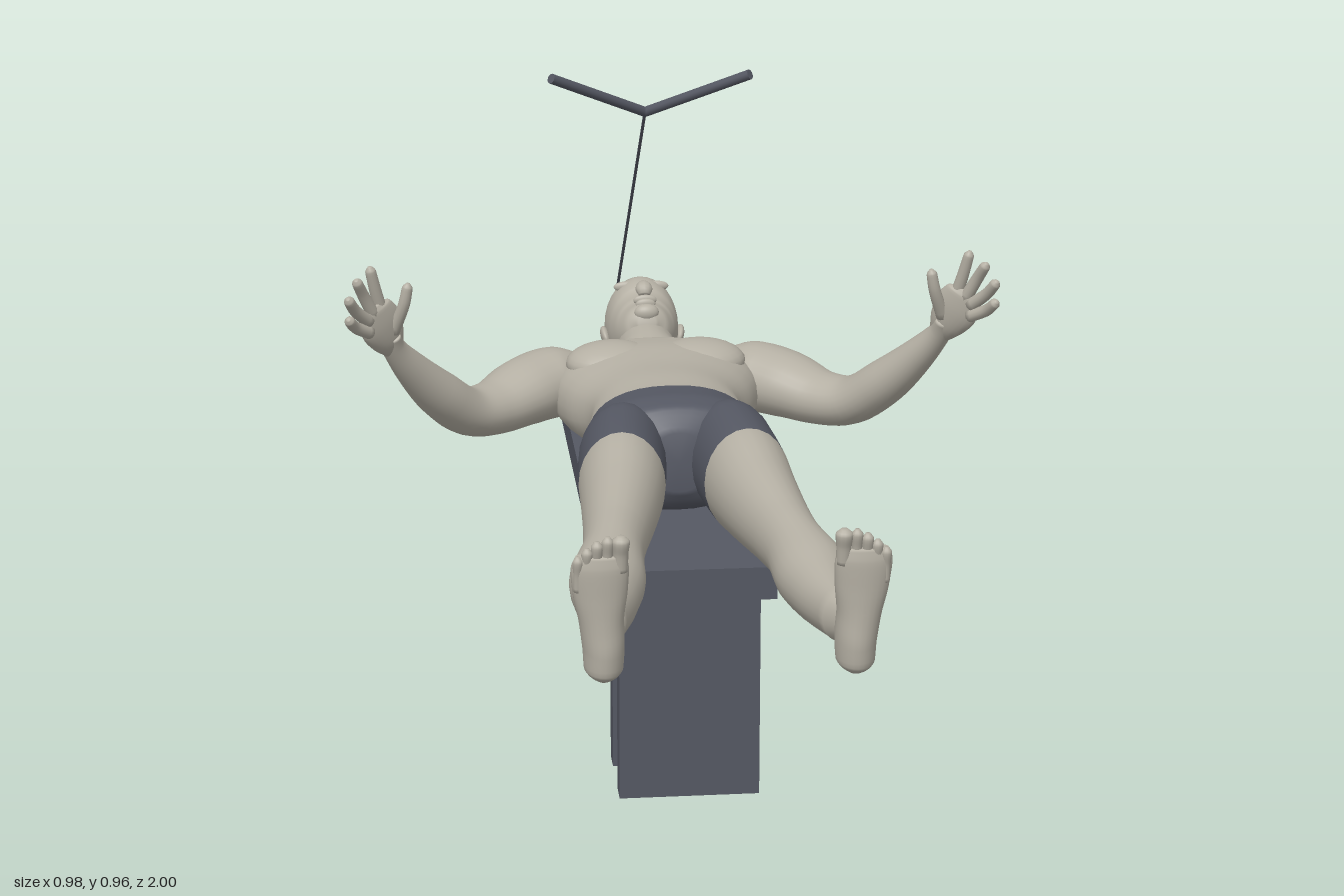
import * as THREE from 'three';

const skin = new THREE.MeshStandardMaterial({ color: 0xb5b0a4 });
skin.name = 'stone skin';
const slate = new THREE.MeshStandardMaterial({ color: 0x555863 });
slate.name = 'dark slate';

// Smooth closed loft through sections [x, y, z, a, b]; a lies along ref x tangent, b across it.
// Rows between the section numbers in dark = [from, to] become slate.
function loft(sections, ref, { steps = 5, sides = 24, dark = [0, 0], square = 1, side = 1 } = {}) {
  const path = new THREE.CatmullRomCurve3(sections.map(s => new THREE.Vector3(s[0] * side, s[1], s[2])));
  const size = new THREE.CatmullRomCurve3(sections.map(s => new THREE.Vector3(s[3], s[4], 0)));
  const up = new THREE.Vector3(ref[0] * side, ref[1], ref[2]);
  const rows = (sections.length - 1) * steps;
  const pos = [], index = [], geo = new THREE.BufferGeometry();
  const soft = v => Math.sign(v) * Math.abs(v) ** square;
  for (let i = 0; i <= rows; i++) {
    const p = path.getPoint(i / rows), r = size.getPoint(i / rows), t = path.getTangent(i / rows);
    const s = up.clone().cross(t).normalize(), n = t.clone().cross(s);
    for (let j = 0; j < sides; j++) {
      const w = j / sides * Math.PI * 2;
      const v = p.clone().addScaledVector(s, soft(Math.cos(w)) * r.x).addScaledVector(n, soft(Math.sin(w)) * r.y);
      pos.push(v.x, v.y, v.z);
    }
  }
  const ends = [path.getPoint(0), path.getPoint(1)];
  ends.forEach(p => pos.push(p.x, p.y, p.z));
  const c = (rows + 1) * sides;
  for (let i = 0; i < rows; i++) {
    geo.addGroup(index.length, sides * 6, i >= dark[0] * steps && i < dark[1] * steps ? 1 : 0);
    for (let j = 0; j < sides; j++) {
      const k = (j + 1) % sides, a = i * sides + j, b = i * sides + k;
      index.push(a, b, a + sides, b, b + sides, a + sides);
    }
  }
  geo.addGroup(index.length, sides * 6, dark[1] >= sections.length - 1 ? 1 : 0);
  for (let j = 0; j < sides; j++) {
    const k = (j + 1) % sides, e = rows * sides;
    index.push(c, k, j, c + 1, e + j, e + k);
  }
  geo.setAttribute('position', new THREE.Float32BufferAttribute(pos, 3));
  geo.setIndex(index);
  geo.computeVertexNormals();
  return geo;
}

export function createModel() {
  const model = new THREE.Group();
  model.name = 'figureOnBench';
  const X = [1, 0, 0], Y = [0, 1, 0], Z = [0, 0, 1];

  const add = (name, geo, mat, parent = model) => {
    const mesh = new THREE.Mesh(geo, mat);
    mesh.name = name;
    parent.add(mesh);
    return mesh;
  };
  const body = (name, sections, ref, opts) => add(name, loft(sections, ref, opts), [skin, slate]);
  const blob = (name, x, y, z, rx, ry, rz) => {
    const m = add(name, new THREE.SphereGeometry(1, 24, 16), skin);
    m.position.set(x, y, z);
    m.scale.set(rx, ry, rz);
    return m;
  };
  const box = (name, w, h, d, y, z) => add(name, new THREE.BoxGeometry(w, h, d), slate).position.set(0, y, z);
  const rod = (name, from, to, r) => {
    const a = new THREE.Vector3(...from), b = new THREE.Vector3(...to), d = b.clone().sub(a);
    const m = add(name, new THREE.CylinderGeometry(r, r, d.length(), 14), slate);
    m.position.copy(a).add(b).multiplyScalar(0.5);
    m.quaternion.setFromUnitVectors(new THREE.Vector3(0, 1, 0), d.normalize());
  };

  // Bench
  box('benchTop', 0.256, 0.05, 0.86, 0.335, 0.025);
  box('footPanel', 0.208, 0.31, 0.04, 0.155, 0.43);
  box('innerPanel', 0.208, 0.31, 0.04, 0.155, 0.31);
  box('headPost', 0.042, 0.31, 0.04, 0.155, -0.335);

  // Angled handle on its cable
  rod('cable', [0, 0.868, -0.265], [0, 0.26, -1], 0.0025);
  for (const s of [1, -1]) rod('handleBar', [0, 0.868, -0.265], [s * 0.156, 0.949, -0.165], 0.008);

  // Torso, with the shorts starting at the waistband
  body('torso', [
    [0, 0.47, -0.205, 0.05, 0.04], [0, 0.46, -0.18, 0.1, 0.058], [0, 0.456, -0.14, 0.155, 0.076],
    [0, 0.456, -0.08, 0.163, 0.082], [0, 0.459, -0.01, 0.146, 0.079], [0, 0.474, 0.08, 0.115, 0.069],
    [0, 0.468, 0.15, 0.124, 0.078], [0, 0.463, 0.21, 0.136, 0.087], [0, 0.465, 0.26, 0.115, 0.08],
    [0, 0.468, 0.29, 0.04, 0.045],
  ], Y, { sides: 36, dark: [6, 9], square: 0.88 });

  // Neck and head
  body('neck', [
    [0, 0.478, -0.33, 0.045, 0.05], [0, 0.476, -0.27, 0.046, 0.05],
    [0, 0.473, -0.22, 0.05, 0.052], [0, 0.465, -0.17, 0.075, 0.055],
  ], Y);
  body('head', [
    [0, 0.495, -0.427, 0.008, 0.01], [0, 0.495, -0.416, 0.033, 0.043], [0, 0.492, -0.388, 0.052, 0.069],
    [0, 0.49, -0.345, 0.06, 0.08], [0, 0.494, -0.3, 0.057, 0.069], [0, 0.509, -0.265, 0.048, 0.05],
    [0, 0.524, -0.242, 0.034, 0.031], [0, 0.528, -0.231, 0.014, 0.013],
  ], Y, { sides: 32 });
  body('nose', [
    [0, 0.558, -0.338, 0.007, 0.006], [0, 0.564, -0.312, 0.009, 0.01],
    [0, 0.567, -0.29, 0.014, 0.012], [0, 0.558, -0.281, 0.009, 0.007],
  ], Y, { sides: 12 });
  blob('upperLip', 0, 0.554, -0.269, 0.019, 0.009, 0.005);
  blob('lowerLip', 0, 0.55, -0.26, 0.016, 0.009, 0.005);
  blob('chin', 0, 0.541, -0.243, 0.02, 0.014, 0.012);

  const palmRef = [0.58, 0.19, -0.74];
  for (const side of [1, -1]) {
    const label = side > 0 ? 'left' : 'right';
    const part = (name, sections, ref, opts) => body(label + name, sections, ref, { ...opts, side });
    const lump = (name, x, ...rest) => blob(label + name, x * side, ...rest);

    // Face and chest relief
    lump('Ear', 0.06, 0.478, -0.322, 0.008, 0.017, 0.024).rotation.z = side * -0.3;
    lump('Brow', 0.024, 0.556, -0.342, 0.021, 0.009, 0.006);
    lump('Eye', 0.024, 0.545, -0.326, 0.012, 0.01, 0.008);
    lump('Chest', 0.068, 0.508, -0.085, 0.074, 0.034, 0.06);

    // Leg, slate down to the hem of the shorts
    part('Leg', [
      [0.07, 0.464, 0.18, 0.045, 0.065], [0.082, 0.463, 0.26, 0.066, 0.087], [0.092, 0.464, 0.37, 0.064, 0.082],
      [0.102, 0.461, 0.46, 0.057, 0.069], [0.119, 0.458, 0.58, 0.046, 0.055], [0.128, 0.457, 0.64, 0.044, 0.051],
      [0.142, 0.449, 0.72, 0.053, 0.052], [0.15, 0.447, 0.8, 0.043, 0.045], [0.158, 0.451, 0.89, 0.026, 0.035],
      [0.166, 0.452, 0.955, 0.026, 0.035],
    ], Y, { dark: [0, 2] });

    // Foot and toes, pointing up
    part('Foot', [
      [0.167, 0.406, 0.957, 0.013, 0.018], [0.167, 0.42, 0.959, 0.026, 0.034], [0.167, 0.45, 0.96, 0.028, 0.036],
      [0.17, 0.49, 0.966, 0.03, 0.029], [0.172, 0.53, 0.974, 0.036, 0.021], [0.173, 0.568, 0.981, 0.038, 0.015],
      [0.173, 0.585, 0.983, 0.032, 0.01],
    ], Z);
    [[0.146, 0.613, 0.012], [0.163, 0.612, 0.008], [0.177, 0.606, 0.008], [0.19, 0.597, 0.0075], [0.202, 0.586, 0.007]]
      .forEach(([x, tip, r], i) => part('Toe' + (i + 1), [
        [x, tip - 0.05, 0.982, r * 0.8, r * 0.8], [x, tip - 0.025, 0.985, r * 0.85, r * 0.85],
        [x, tip - 0.008, 0.988, r, r], [x, tip, 0.988, r * 0.4, r * 0.4],
      ], Z, { sides: 12 }));

    // Arm, bent up at the elbow
    part('Arm', [
      [0.11, 0.465, -0.14, 0.035, 0.04], [0.165, 0.466, -0.122, 0.063, 0.056], [0.21, 0.463, -0.086, 0.062, 0.052],
      [0.26, 0.455, -0.037, 0.05, 0.042], [0.302, 0.464, 0.003, 0.046, 0.038], [0.345, 0.507, 0.048, 0.04, 0.036],
      [0.39, 0.566, 0.095, 0.027, 0.026], [0.417, 0.61, 0.125, 0.02, 0.017], [0.425, 0.632, 0.138, 0.021, 0.014],
    ], Y);

    // Hand with spread fingers
    part('Palm', [
      [0.416, 0.605, 0.12, 0.017, 0.014], [0.425, 0.63, 0.138, 0.03, 0.017], [0.435, 0.655, 0.154, 0.036, 0.015],
      [0.444, 0.68, 0.166, 0.029, 0.011], [0.446, 0.688, 0.169, 0.016, 0.006],
    ], palmRef);
    const fingers = {
      Thumb: [0.416, 0.64, 0.145, 0.4, 0.686, 0.162, 0.393, 0.72, 0.166],
      IndexFinger: [0.434, 0.675, 0.156, 0.443, 0.715, 0.167, 0.45, 0.75, 0.176],
      MiddleFinger: [0.446, 0.674, 0.168, 0.461, 0.71, 0.184, 0.471, 0.738, 0.203],
      RingFinger: [0.453, 0.665, 0.175, 0.473, 0.69, 0.2, 0.484, 0.715, 0.222],
      LittleFinger: [0.452, 0.648, 0.175, 0.473, 0.664, 0.2, 0.484, 0.684, 0.224],
    };
    for (const [name, [ax, ay, az, bx, by, bz, cx, cy, cz]] of Object.entries(fingers)) {
      const mix = (p, q) => p + (q - p) * 0.8;
      part(name, [
        [ax, ay, az, 0.01, 0.01], [bx, by, bz, 0.009, 0.009],
        [mix(bx, cx), mix(by, cy), mix(bz, cz), 0.008, 0.008], [cx, cy, cz, 0.003, 0.003],
      ], X, { sides: 12 });
    }
  }
  return model;
}
